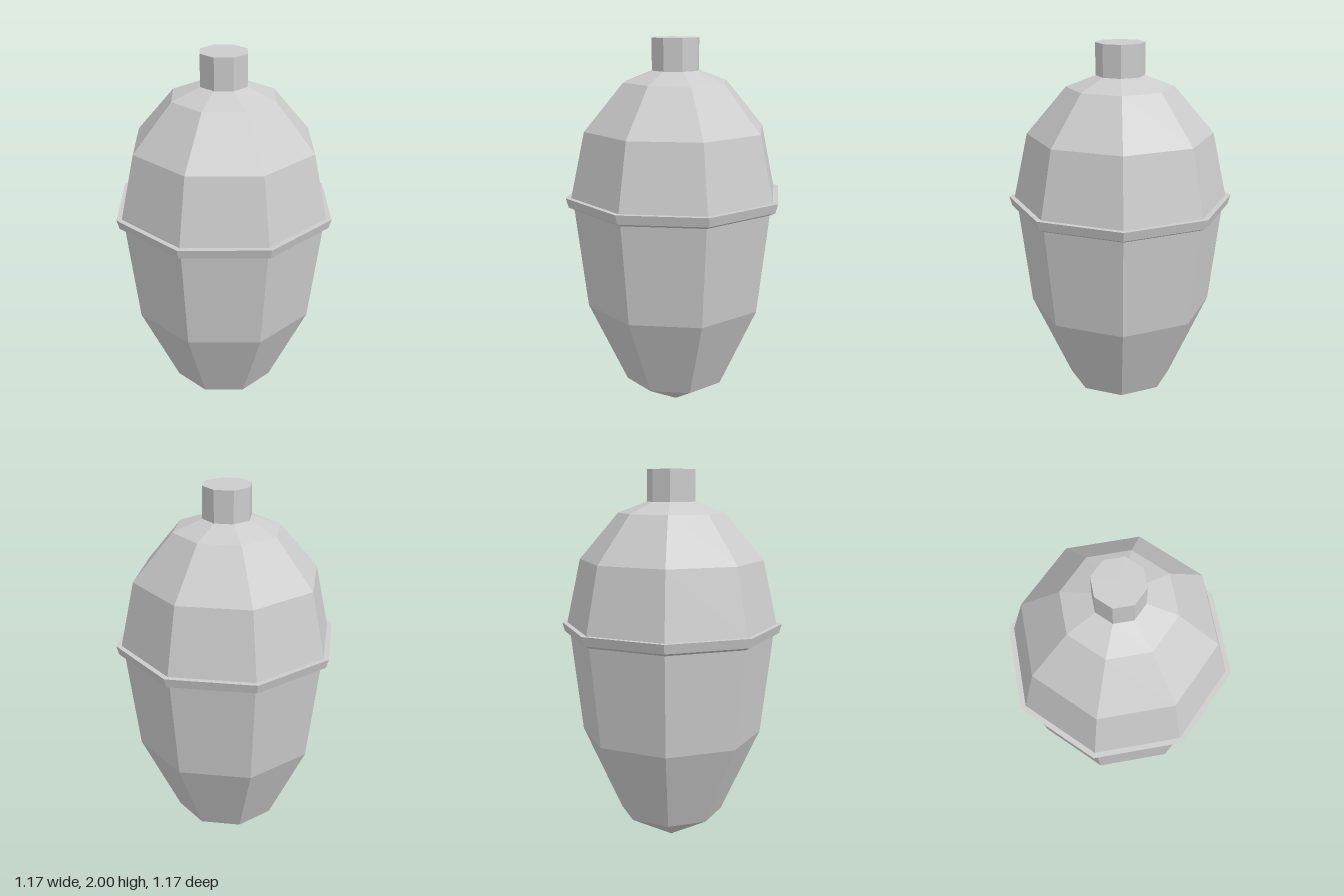
import * as THREE from 'three';

const SIDES = 8;

export function createModel() {
  const group = new THREE.Group();
  group.name = 'acorn';
  const material = new THREE.MeshStandardMaterial({ color: 0xcccccc, flatShading: true });

  // Faceted turned part from [radius, height] pairs, listed bottom to top
  const turned = (name, profile) => {
    const points = profile.map(([r, y]) => new THREE.Vector2(r, y));
    const mesh = new THREE.Mesh(new THREE.LatheGeometry(points, SIDES), material);
    mesh.name = name;
    group.add(mesh);
  };

  // Pointed nut below the rim
  turned('nut', [[0, 0.005], [0.275, 0.165], [0.48, 0.615], [0.54, 1.14]]);

  // Thin flared rim joining nut and cap
  turned('rim', [[0.54, 1.14], [0.57, 1.155], [0.583, 1.203], [0.555, 1.203]]);

  // Domed cap
  turned('cap', [[0.555, 1.203], [0.48, 1.54], [0.275, 1.78], [0.125, 1.837]]);

  // Stubby stem with a flat end
  turned('stem', [[0.125, 1.837], [0.125, 2], [0, 2]]);

  return group;
}
